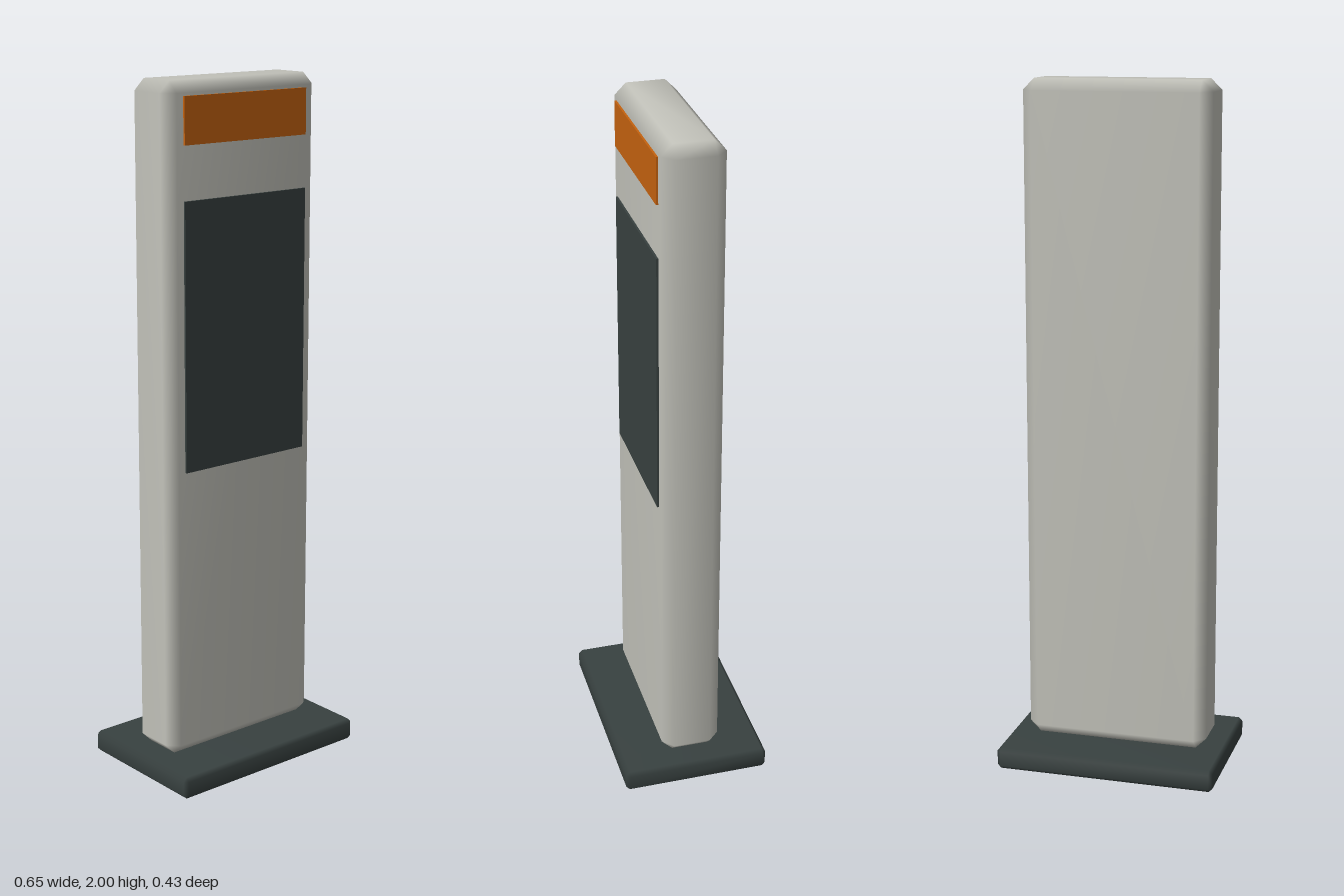
import * as THREE from 'three';
import { mergeVertices } from 'three/addons/utils/BufferGeometryUtils.js';
import { ConvexGeometry } from 'three/addons/geometries/ConvexGeometry.js';

const paint = (name, color) => {
  const m = new THREE.MeshStandardMaterial({ color });
  m.name = name;
  return m;
};

// Box with one-step chamfers on every edge and smooth shared normals
function chamferBox(w, h, d, c) {
  const points = [];
  for (const x of [-1, 1]) for (const y of [-1, 1]) for (const z of [-1, 1]) {
    const [X, Y, Z] = [w / 2, h / 2, d / 2];
    points.push(
      new THREE.Vector3(x * X, y * (Y - c), z * (Z - c)),
      new THREE.Vector3(x * (X - c), y * Y, z * (Z - c)),
      new THREE.Vector3(x * (X - c), y * (Y - c), z * Z));
  }
  const hull = new ConvexGeometry(points);
  hull.deleteAttribute('normal');
  const g = mergeVertices(hull, 1e-4);
  g.computeVertexNormals();
  return g;
}

export function createModel() {
  const model = new THREE.Group();
  model.name = 'signPillar';

  const shell = paint('warm grey', 0xc2c2ba);
  const dark = paint('dark slate', 0x384140);
  const orange = paint('orange', 0xc4620f);

  const add = (name, geometry, material, y, z = 0) => {
    const mesh = new THREE.Mesh(geometry, material);
    mesh.name = name;
    mesh.position.set(0, y, z);
    model.add(mesh);
  };

  // Foot plate and upright slab
  add('basePlate', chamferBox(0.65, 0.065, 0.434, 0.011), dark, 0.0325);
  add('pillarBody', chamferBox(0.542, 1.935, 0.174, 0.032), shell, 1.0325);

  // Thin panels on the front face
  add('displayPanel', new THREE.BoxGeometry(0.434, 0.76, 0.009), dark, 1.3, 0.0885);
  add('headerStripe', new THREE.BoxGeometry(0.434, 0.13, 0.009), orange, 1.895, 0.0885);

  return model;
}
